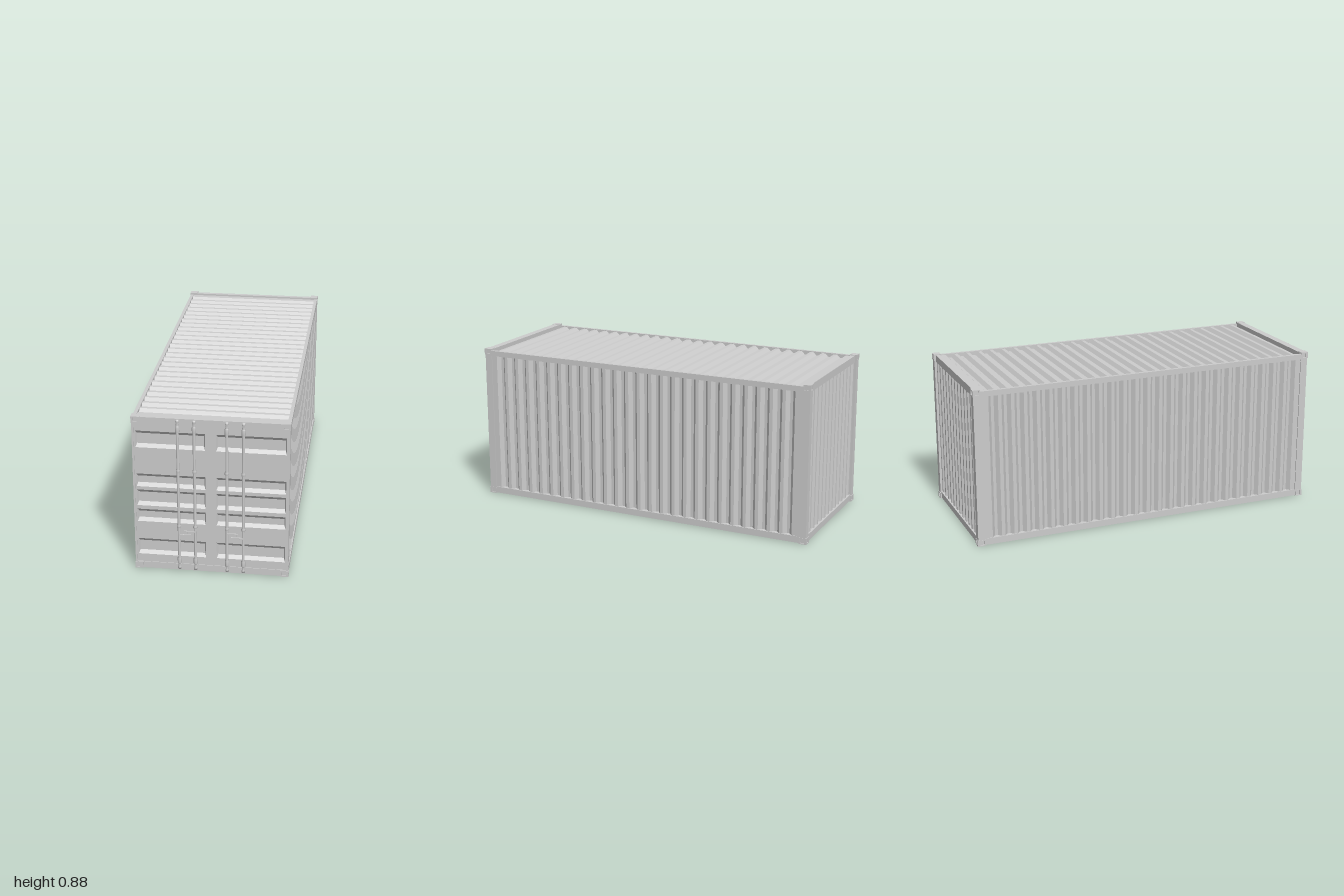
import * as THREE from 'three';

const steel = new THREE.MeshStandardMaterial({ color: 0xcccccc });
steel.name = 'paintedSteel';

function add(parent, name, geometry) {
  const mesh = new THREE.Mesh(geometry, steel);
  mesh.name = name;
  parent.add(mesh);
  return mesh;
}

// Box given by its limits on each axis
function block(parent, name, x0, x1, y0, y1, z0, z1) {
  const g = new THREE.BoxGeometry(Math.abs(x1 - x0), y1 - y0, Math.abs(z1 - z0));
  g.translate((x0 + x1) / 2, (y0 + y1) / 2, (z0 + z1) / 2);
  return add(parent, name, g);
}

// Trapezoidal sheet: profile runs along u, crests at v = 0, extruded along w
function corrugated(u0, u1, first, count, step, depth, width) {
  const s = new THREE.Shape();
  s.moveTo(u0, -depth - 0.004);
  s.lineTo(u1, -depth - 0.004);
  s.lineTo(u1, 0);
  for (let i = count - 1; i >= 0; i--) {
    const c = first + i * step;
    s.lineTo(c + step * 0.365, 0);
    s.lineTo(c + step * 0.115, -depth);
    s.lineTo(c - step * 0.115, -depth);
    s.lineTo(c - step * 0.365, 0);
  }
  s.lineTo(u0, 0);
  return new THREE.ExtrudeGeometry(s, { depth: width, bevelEnabled: false });
}

function orient(geometry, u, v, w, origin) {
  const m = new THREE.Matrix4().makeBasis(
    new THREE.Vector3(...u), new THREE.Vector3(...v), new THREE.Vector3(...w));
  m.setPosition(...origin);
  return geometry.applyMatrix4(m);
}

function rectangle(path, x0, x1, y0, y1) {
  path.moveTo(x0, y0);
  path.lineTo(x1, y0);
  path.lineTo(x1, y1);
  path.lineTo(x0, y1);
  path.closePath();
  return path;
}

// Plate with a square hole, centred on the origin
function pocketPlate(w, h, t, hole) {
  const s = rectangle(new THREE.Shape(), -w / 2, w / 2, -h / 2, h / 2);
  s.holes.push(rectangle(new THREE.Path(), -hole / 2, hole / 2, -hole / 2, hole / 2));
  return new THREE.ExtrudeGeometry(s, { depth: t, bevelEnabled: false }).translate(0, 0, -t / 2);
}

// Sloped sides and floor of a pressed door panel
function pressing(x0, x1, y0, y1, z, depth) {
  const b = z - depth, sx = 0.007, sy = 0.018;
  const o = [[x0, y0, z], [x1, y0, z], [x1, y1, z], [x0, y1, z]];
  const n = [[x0 + sx, y0 + sy, b], [x1 - sx, y0 + sy, b], [x1 - sx, y1 - sy, b], [x0 + sx, y1 - sy, b]];
  const pos = [];
  const quad = (p, q, r, s) => pos.push(...p, ...q, ...r, ...p, ...r, ...s);
  for (let i = 0; i < 4; i++) {
    const j = (i + 1) % 4;
    quad(o[i], o[j], n[j], n[i]);
  }
  quad(...n);
  const g = new THREE.BufferGeometry();
  g.setAttribute('position', new THREE.Float32BufferAttribute(pos, 3));
  g.computeVertexNormals();
  return g;
}

// Corner casting with pockets on the end and side faces
function casting(parent, sx, top, sz) {
  const g = new THREE.Group();
  g.name = 'cornerCasting';
  const w = 0.044, h = 0.035, d = 0.042, t = 0.007, hole = 0.024;
  const X = 0.405, Z = sz > 0 ? 0.99 : 1, y0 = top ? 0.84 : 0;
  block(g, 'castingCore', sx * (X - w), sx * (X - t), y0, y0 + h, sz * (Z - d), sz * (Z - t));
  add(g, 'endPocket', pocketPlate(w, h, t, hole))
    .position.set(sx * (X - w / 2), y0 + h / 2, sz * (Z - t / 2));
  add(g, 'sidePocket', pocketPlate(d - t, h, t, hole).rotateY(Math.PI / 2))
    .position.set(sx * (X - t / 2), y0 + h / 2, sz * (Z - t - (d - t) / 2));
  parent.add(g);
}

export function createModel() {
  const model = new THREE.Group();
  model.name = 'shippingContainer';

  // Frame: rails, posts and castings
  for (const s of [1, -1]) {
    block(model, 'topRail', s * 0.385, s * 0.403, 0.835, 0.865, -0.96, 0.95);
    block(model, 'bottomRail', s * 0.375, s * 0.403, 0.004, 0.04, -0.96, 0.95);
    block(model, 'frontPost', s * 0.393, s * 0.403, 0.03, 0.845, 0.945, 0.986);
    block(model, 'rearPost', s * 0.365, s * 0.403, 0.03, 0.845, -0.997, -0.945);
    for (const top of [false, true]) for (const z of [1, -1]) casting(model, s, top, z);
  }
  block(model, 'frontHeader', -0.395, 0.395, 0.838, 0.873, 0.945, 0.986);
  block(model, 'frontSill', -0.395, 0.395, 0.002, 0.038, 0.945, 0.986);
  block(model, 'rearHeader', -0.395, 0.395, 0.83, 0.871, -0.988, -0.963);
  block(model, 'rearSill', -0.395, 0.395, 0.004, 0.04, -0.992, -0.955);
  block(model, 'floor', -0.39, 0.39, 0.02, 0.03, -0.97, 0.96);

  // Corrugated walls and roof
  const side = () => corrugated(-0.947, 0.947, -0.8875, 26, 0.071, 0.02, 0.81);
  add(model, 'leftWall', orient(side(), [0, 0, 1], [1, 0, 0], [0, 1, 0], [0.398, 0.03, 0]));
  add(model, 'rightWall', orient(side(), [0, 0, -1], [-1, 0, 0], [0, 1, 0], [-0.398, 0.03, 0]));
  add(model, 'rearWall', orient(corrugated(-0.37, 0.37, -0.33, 12, 0.06, 0.02, 0.81),
    [1, 0, 0], [0, 0, -1], [0, 1, 0], [0, 0.03, -0.984]));
  add(model, 'roof', orient(corrugated(-0.966, 0.98, -0.901, 27, 0.071, 0.018, 0.772),
    [0, 0, 1], [0, 1, 0], [-1, 0, 0], [0.386, 0, 0].map((v, i) => (i === 1 ? 0.861 : v))));

  // Doors with recessed pressings
  const doors = new THREE.Group();
  doors.name = 'doors';
  model.add(doors);
  const faceZ = 0.982;
  const face = rectangle(new THREE.Shape(), -0.395, 0.395, 0.036, 0.84);
  const rows = [[0.083, 0.175], [0.277, 0.349], [0.37, 0.461], [0.48, 0.553], [0.702, 0.795]];
  for (const [y0, y1] of rows) {
    for (const [x0, x1] of [[-0.386, -0.028], [0.028, 0.386]]) {
      face.holes.push(rectangle(new THREE.Path(), x0, x1, y0, y1));
      add(doors, 'doorPressing', pressing(x0, x1, y0, y1, faceZ, 0.015));
    }
  }
  add(doors, 'doorFace', new THREE.ShapeGeometry(face).translate(0, 0, faceZ));

  // Locking rods: shaft, clamps and flared ends in one turned profile
  const profile = [[0, 0.011], [0.009, 0.011], [0.009, 0.022], [0.006, 0.026], [0.0075, 0.04]];
  for (const [y0, y1] of [[0.042, 0.08], [0.255, 0.273], [0.572, 0.594], [0.798, 0.833]]) {
    profile.push([0.0075, y0], [0.0108, y0 + 0.004], [0.0108, y1 - 0.004], [0.0075, y1]);
  }
  profile.push([0.0075, 0.836], [0.006, 0.85], [0.009, 0.858], [0.009, 0.869], [0, 0.869]);
  const points = profile.map(([r, y]) => new THREE.Vector2(r, y));
  for (const s of [1, -1]) {
    for (const x of [0.083, 0.168]) {
      add(doors, 'lockingRod', new THREE.LatheGeometry(points, 12)).position.set(s * x, 0, 0.987);
    }
    // Handles with their small catches
    block(doors, 'innerHandle', s * 0.083, s * 0.142, 0.232, 0.24, 0.99, 0.996);
    block(doors, 'innerCatch', s * 0.122, s * 0.132, 0.226, 0.232, 0.982, 0.996);
    block(doors, 'outerHandle', s * 0.105, s * 0.168, 0.21, 0.218, 0.99, 0.996);
    block(doors, 'outerCatch', s * 0.137, s * 0.147, 0.204, 0.21, 0.982, 0.996);
  }
  return model;
}
